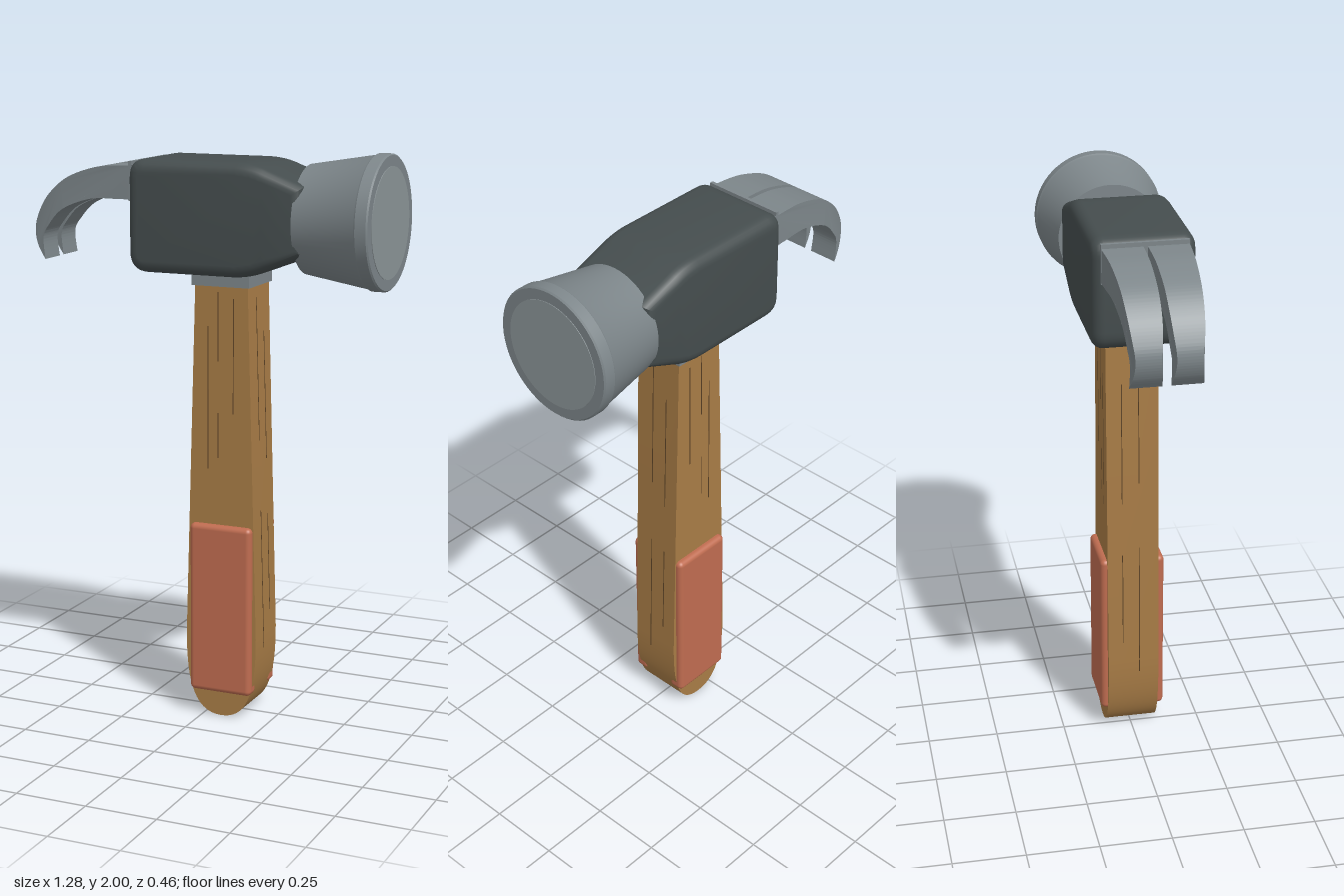
import * as THREE from 'three';
import { toCreasedNormals } from 'three/addons/utils/BufferGeometryUtils.js';
import { RoundedBoxGeometry } from 'three/addons/geometries/RoundedBoxGeometry.js';

const mat = (color) => new THREE.MeshStandardMaterial({ color });
const STEEL = mat(0x7d868a), FACE = mat(0x8c9598), DARK = mat(0x454d4e);
const WOOD = mat(0xa87c46), GRAIN = mat(0x5e4427), GRIP = mat(0xbf6c50);

const HANDLE_X = 0.067, HEAD_Y = 1.772;
const halfWidth = (y) => 0.133 - 0.0355 * (y - 0.3) / 1.24;

function add(group, name, geometry, material, x = 0, y = 0, z = 0) {
  const mesh = new THREE.Mesh(geometry, material);
  mesh.name = name;
  mesh.position.set(x, y, z);
  group.add(mesh);
  return mesh;
}

// Tapered flat-sided handle with a rounded butt
function handleGeometry() {
  const s = new THREE.Shape();
  s.moveTo(halfWidth(1.56), 1.56);
  s.lineTo(-halfWidth(1.56), 1.56);
  s.lineTo(-0.133, 0.3);
  s.bezierCurveTo(-0.135, 0.08, -0.09, 0.0, 0, 0);
  s.bezierCurveTo(0.09, 0.0, 0.135, 0.08, 0.133, 0.3);
  s.closePath();
  const g = new THREE.ExtrudeGeometry(s, { depth: 0.184, bevelEnabled: false, curveSegments: 20 });
  g.translate(0, 0, -0.092);
  return toCreasedNormals(g, 0.5);
}

// Side profile of the head, rounded towards front and back
function headGeometry() {
  const s = new THREE.Shape();
  s.moveTo(-0.18, 1.58);
  s.lineTo(0.13, 1.58);
  s.quadraticCurveTo(0.2, 1.582, 0.26, 1.61);
  s.lineTo(0.39, 1.665);
  s.lineTo(0.39, 1.895);
  s.lineTo(0.26, 1.942);
  s.quadraticCurveTo(0.21, 1.964, 0.15, 1.965);
  s.lineTo(-0.19, 1.965);
  s.quadraticCurveTo(-0.252, 1.965, -0.252, 1.9);
  s.lineTo(-0.252, 1.65);
  s.quadraticCurveTo(-0.252, 1.58, -0.18, 1.58);
  const g = new THREE.ExtrudeGeometry(s, {
    depth: 0.264, bevelThickness: 0.04, bevelSize: 0.04, bevelOffset: -0.04,
    bevelSegments: 5, curveSegments: 8,
  });
  g.translate(0, 0, -0.132);
  return toCreasedNormals(g, 0.6);
}

// One curved prong, narrowing towards its tip; side is +1 or -1
function prongGeometry(side) {
  const v = (p) => p.map(([x, y]) => new THREE.Vector2(x, y));
  const s = new THREE.Shape();
  s.moveTo(-0.22, 1.94);
  s.splineThru(v([[-0.28, 1.94], [-0.385, 1.93], [-0.5, 1.89], [-0.58, 1.825],
    [-0.626, 1.75], [-0.638, 1.695], [-0.625, 1.645], [-0.595, 1.6]]));
  s.splineThru(v([[-0.602, 1.675], [-0.58, 1.72], [-0.52, 1.78], [-0.41, 1.82],
    [-0.3, 1.825], [-0.22, 1.825]]));
  s.closePath();
  const g = new THREE.ExtrudeGeometry(s, { depth: 1, steps: 4, bevelEnabled: false, curveSegments: 32 });
  g.translate(0, 0, -0.5);
  const p = g.attributes.position;
  for (let i = 0; i < p.count; i++) {
    const t = THREE.MathUtils.clamp((-0.25 - p.getX(i)) / 0.39, 0, 1);
    const tip = 0.012 * t ** 12;
    const inner = 0.007 + 0.005 * t + tip, outer = 0.145 - 0.026 * t - tip;
    p.setZ(i, side * (inner + outer) / 2 + p.getZ(i) * (outer - inner));
  }
  return toCreasedNormals(g, 0.5);
}

// Flared striking end, turned around the x axis
function pollGeometry() {
  const pts = [[0, 0.355], [0.185, 0.355], [0.223, 0.585], [0.228, 0.592], [0.228, 0.63], [0.223, 0.635], [0, 0.635]];
  const g = new THREE.LatheGeometry(pts.map(([r, x]) => new THREE.Vector2(r, x)), 64);
  g.rotateZ(-Math.PI / 2);
  return toCreasedNormals(g, 0.5);
}

export function createModel() {
  const hammer = new THREE.Group();
  hammer.name = 'hammer';

  add(hammer, 'handle', handleGeometry(), WOOD, HANDLE_X);
  add(hammer, 'collar', new THREE.BoxGeometry(0.212, 0.05, 0.204), STEEL, HANDLE_X, 1.565, 0);
  add(hammer, 'head', headGeometry(), DARK);
  add(hammer, 'strikingEnd', pollGeometry(), STEEL, 0, HEAD_Y, 0);

  // Disc marking the striking face
  const disc = new THREE.CylinderGeometry(0.187, 0.187, 0.004, 64);
  disc.rotateZ(-Math.PI / 2);
  add(hammer, 'strikingFace', disc, FACE, 0.635, HEAD_Y, 0);

  // Claw and the thin lip at its root
  add(hammer, 'clawLip', new THREE.BoxGeometry(0.012, 0.135, 0.29), STEEL, -0.25, 1.888, 0);

  for (const side of [1, -1]) {
    add(hammer, side > 0 ? 'frontProng' : 'backProng', prongGeometry(side), STEEL);
    add(hammer, side > 0 ? 'frontGrip' : 'backGrip',
      new RoundedBoxGeometry(0.232, 0.612, 0.06, 4, 0.018), GRIP, 0.07, 0.396, side * 0.085);

    // Grain lines on the broad faces: x offset, centre height, length
    for (const [x, y, len] of [[-0.05, 1.15, 0.5], [-0.012, 1.4, 0.24], [-0.012, 1.02, 0.16], [0.045, 1.3, 0.4]])
      add(hammer, 'grain', new THREE.BoxGeometry(0.003, len, 0.002), GRAIN, HANDLE_X + x, y, side * 0.092);

    // Grain lines on the narrow faces: z, centre height, length
    for (const [z, y, len] of [[0.022, 1.25, 0.5], [0.022, 0.5, 0.5], [-0.038, 1.15, 0.45], [-0.038, 0.55, 0.35]]) {
      const line = add(hammer, 'grain', new THREE.BoxGeometry(0.002, len, 0.003), GRAIN,
        HANDLE_X + side * halfWidth(y), y, z);
      line.rotation.z = side * 0.0286;
    }
  }
  return hammer;
}
